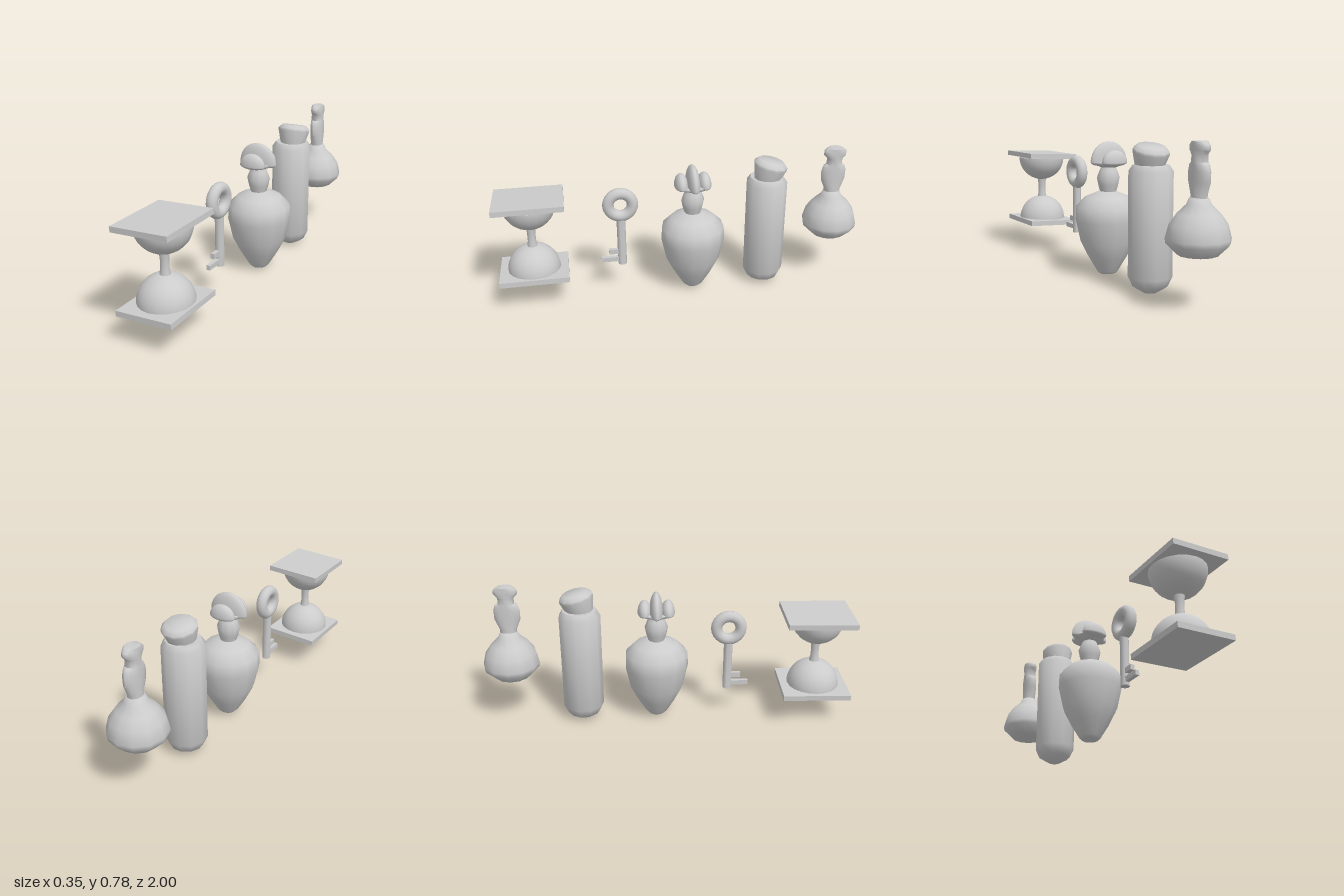
import * as THREE from 'three';
import { toCreasedNormals } from 'three/addons/utils/BufferGeometryUtils.js';

const grey = new THREE.MeshStandardMaterial({ color: 0xcccccc, side: THREE.DoubleSide });

function add(parent, name, geometry, x = 0, y = 0, z = 0) {
  const mesh = new THREE.Mesh(geometry, grey);
  mesh.name = name;
  mesh.position.set(x, y, z);
  parent.add(mesh);
  return mesh;
}

function addGroup(parent, name, x, z) {
  const group = new THREE.Group();
  group.name = name;
  group.position.set(x, 0, z);
  parent.add(group);
  return group;
}

// Turned solid from [radius, y] pairs, listed bottom to top
function turned(profile, sides) {
  const points = profile.map(([r, y]) => new THREE.Vector2(r, y));
  return new THREE.LatheGeometry(points, sides);
}

// Domed half ellipsoid with a shallow rounded underside
function fan(rx, ry, rz, under) {
  const g = new THREE.SphereGeometry(1, 20, 14);
  const p = g.attributes.position;
  for (let i = 0; i < p.count; i++) {
    const y = p.getY(i);
    p.setXYZ(i, p.getX(i) * rx, y * (y > 0 ? ry : under), p.getZ(i) * rz);
  }
  g.computeVertexNormals();
  return g;
}

function addHourglass(root) {
  const g = addGroup(root, 'hourglass', -0.015, 0.815);
  for (const [name, y] of [['bottomPlate', 0.178], ['topPlate', 0.597]]) {
    const plate = add(g, name, new THREE.BoxGeometry(0.31, 0.029, 0.368), 0, y, 0);
    plate.rotation.set(0.01, 0, 0.05);
  }
  const bulb = new THREE.SphereGeometry(0.142, 20, 10, 0, Math.PI * 2, 0, Math.PI / 2);
  add(g, 'lowerBulb', bulb, 0, 0.191, 0);
  add(g, 'upperBulb', bulb, 0, 0.582, 0).rotation.x = Math.PI;
  add(g, 'waist', turned([[0.029, 0.32], [0.022, 0.36], [0.022, 0.41], [0.029, 0.455]], 12));
}

function addKey(root) {
  const g = addGroup(root, 'key', -0.018, 0.334);
  add(g, 'bow', new THREE.TorusGeometry(0.066, 0.031, 12, 24), 0, 0.532, 0).rotation.y = Math.PI / 2;
  const shaft = toCreasedNormals(new THREE.CylinderGeometry(0.024, 0.024, 0.28, 10), 0.8);
  add(g, 'shaft', shaft, 0, 0.312, 0);
  add(g, 'upperTooth', new THREE.BoxGeometry(0.022, 0.028, 0.062), 0, 0.25, 0.041);
  add(g, 'lowerTooth', new THREE.BoxGeometry(0.022, 0.026, 0.105), 0, 0.203, 0.0625);
}

function addFannedBottle(root) {
  const g = addGroup(root, 'fannedBottle', 0, -0.058);
  const body = turned([
    [0, 0.015], [0.045, 0.015], [0.06, 0.03], [0.108, 0.11], [0.148, 0.19], [0.174, 0.31],
    [0.171, 0.385], [0.12, 0.437], [0.05, 0.466], [0, 0.47],
  ], 13);
  add(g, 'body', body);
  add(g, 'neck', turned([[0.042, 0.455], [0.055, 0.5], [0.063, 0.54], [0.05, 0.575], [0.034, 0.61]], 10), -0.005);
  // Stopper: a tall central fan between two small ones, on a shallow cup
  add(g, 'stopperCup', turned([[0, 0.592], [0.045, 0.597], [0.085, 0.615], [0.08, 0.628], [0, 0.632]], 14), -0.008);
  add(g, 'centralFan', fan(0.11, 0.11, 0.037, 0.025), -0.008, 0.625, 0);
  for (const side of [-1, 1]) {
    add(g, 'sideFan', fan(0.074, 0.066, 0.037, 0.02), -0.008, 0.625, side * 0.063);
  }
}

function addTallVial(root) {
  const g = addGroup(root, 'tallVial', -0.009, -0.468);
  const body = turned([
    [0, 0.002], [0.035, 0.003], [0.088, 0.035], [0.112, 0.085], [0.112, 0.615],
    [0.092, 0.645], [0.068, 0.645], [0, 0.635],
  ], 11);
  add(g, 'glass', toCreasedNormals(body, 0.8));
  // Flared cork, leaning backwards
  const cork = turned([[0, 0], [0.066, 0], [0.092, 0.09], [0.092, 0.103], [0.07, 0.124], [0, 0.124]], 11);
  const mesh = add(g, 'cork', toCreasedNormals(cork, 0.8), 0.009, 0.618, 0.008);
  mesh.rotation.x = -0.23;
}

function addRoundFlask(root) {
  const g = addGroup(root, 'roundFlask', -0.016, -0.848);
  const body = turned([
    [0, 0.27], [0.095, 0.27], [0.148, 0.322], [0.152, 0.345], [0.135, 0.41],
    [0.1, 0.46], [0.058, 0.5], [0.045, 0.53], [0, 0.54],
  ], 12);
  add(g, 'body', toCreasedNormals(body, 1.1));
  // Neck and stopper swell front to back but stay slim from side to side
  const profile = [
    [0.045, 0.5], [0.045, 0.545], [0.068, 0.6], [0.07, 0.65], [0.06, 0.68], [0.043, 0.69],
    [0.043, 0.725], [0.063, 0.745], [0.063, 0.765], [0.042, 0.783], [0, 0.783],
  ];
  const neck = turned(profile, 12);
  const p = neck.attributes.position;
  for (let i = 0; i < p.count; i++) {
    const r = Math.hypot(p.getX(i), p.getZ(i));
    if (r > 0.036) p.setX(i, p.getX(i) * 0.036 / r);
  }
  neck.deleteAttribute('normal');
  add(g, 'neckAndStopper', toCreasedNormals(neck, 0.9));
}

export function createModel() {
  const root = new THREE.Group();
  root.name = 'curiosities';
  addHourglass(root);
  addKey(root);
  addFannedBottle(root);
  addTallVial(root);
  addRoundFlask(root);
  return root;
}
